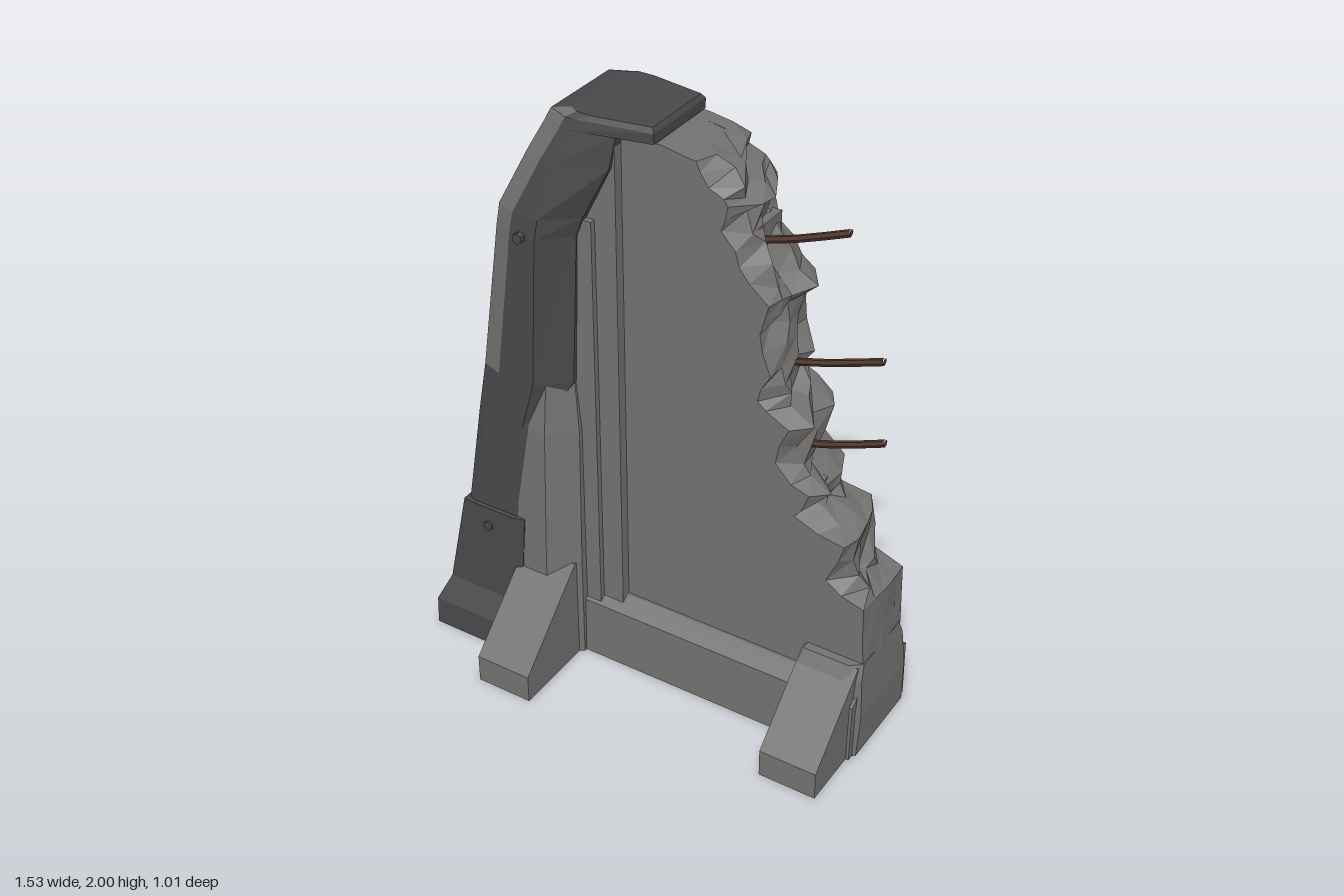
import * as THREE from 'three';

const mat = (name, color, side = THREE.FrontSide) => {
  const m = new THREE.MeshStandardMaterial({ color, side });
  m.name = name;
  m.flatShading = true;
  return m;
};

// small seeded generator for the broken concrete
function seeded(seed) {
  return () => {
    seed = (seed * 16807) % 2147483647;
    return seed / 2147483647;
  };
}

function fromTriangles(pos) {
  const g = new THREE.BufferGeometry();
  g.setAttribute('position', new THREE.Float32BufferAttribute(pos, 3));
  g.computeVertexNormals();
  return g;
}

const quad = (out, a, b, c, d) => out.push(...a, ...b, ...c, ...a, ...c, ...d);

// Stacked eight-sided sections. Row: y, outer x, middle x, inner x,
// outer half width, full half width, inner half width, outer chamfer.
// Chamfer strips above stripFrom go into a second list.
function stack(rows, stripFrom = Infinity) {
  const rings = rows.map(([y, xo, xm, xi, zo, z, zi, s]) => [
    [xo, y, zo], [xo + s, y, z], [xm, y, z], [xi, y, zi],
    [xi, y, -zi], [xm, y, -z], [xo + s, y, -z], [xo, y, -zo],
  ]);
  const main = [], strip = [];
  for (let i = 0; i < rings.length - 1; i++) {
    const lo = rings[i], hi = rings[i + 1];
    for (let k = 0; k < 8; k++) {
      const n = (k + 1) % 8;
      const isStrip = (k === 0 || k === 6) && rows[i][0] >= stripFrom;
      quad(isStrip ? strip : main, lo[k], lo[n], hi[n], hi[k]);
    }
  }
  const bottom = rings[0], top = rings[rings.length - 1];
  for (let k = 1; k < 7; k++) {
    main.push(...top[0], ...top[k], ...top[k + 1]);
    main.push(...bottom[0], ...bottom[k + 1], ...bottom[k]);
  }
  return { main: fromTriangles(main), strip: fromTriangles(strip) };
}

export function createModel() {
  const group = new THREE.Group();
  const concrete = mat('concrete', 0x73716f);
  const armour = mat('dark metal', 0x48484a);
  const rust = mat('rusty steel', 0x4e352c);

  const add = (name, geometry, material) => {
    const m = new THREE.Mesh(geometry, material);
    m.name = name;
    group.add(m);
    return m;
  };
  const box = (name, x0, x1, y0, y1, z0, z1, material) =>
    add(name, new THREE.BoxGeometry(x1 - x0, y1 - y0, z1 - z0), material)
      .position.set((x0 + x1) / 2, (y0 + y1) / 2, (z0 + z1) / 2);

  // dark cladding that leans in and hooks over the top
  const cladding = stack([
    [0.00, -0.77, -0.50, -0.46, 0.34, 0.34, 0.30, 0.02],
    [0.10, -0.77, -0.50, -0.46, 0.335, 0.335, 0.30, 0.02],
    [0.18, -0.74, -0.50, -0.455, 0.285, 0.285, 0.27, 0.02],
    [0.53, -0.67, -0.47, -0.43, 0.275, 0.28, 0.27, 0.02],
    [0.532, -0.655, -0.47, -0.43, 0.26, 0.268, 0.26, 0.02],
    [0.90, -0.60, -0.42, -0.38, 0.25, 0.268, 0.25, 0.04],
    [1.08, -0.57, -0.37, -0.27, 0.245, 0.268, 0.19, 0.07],
    [1.60, -0.50, -0.34, -0.25, 0.235, 0.268, 0.18, 0.07],
    [1.67, -0.49, -0.33, -0.225, 0.23, 0.262, 0.18, 0.07],
    [1.85, -0.41, -0.29, -0.135, 0.185, 0.22, 0.17, 0.07],
    [1.95, -0.36, -0.26, -0.12, 0.16, 0.19, 0.155, 0.07],
    [1.952, -0.36, -0.26, 0.00, 0.16, 0.19, 0.14, 0.07],
    [1.985, -0.345, -0.25, 0.00, 0.15, 0.18, 0.14, 0.07],
    [2.00, -0.28, -0.19, -0.01, 0.14, 0.16, 0.13, 0.03],
  ], 1.08);
  add('cladding', cladding.main, armour);
  add('claddingEdgeStrips', cladding.strip, concrete);

  // concrete pier in front of the cladding, and the column beside it
  add('pier', stack([
    [0.00, -0.60, -0.35, -0.255, 0.26, 0.27, 0.20, 0.02],
    [0.38, -0.60, -0.35, -0.255, 0.25, 0.268, 0.20, 0.02],
    [0.90, -0.56, -0.34, -0.255, 0.24, 0.26, 0.19, 0.02],
    [1.10, -0.50, -0.34, -0.275, 0.22, 0.24, 0.18, 0.02],
  ]).main, concrete);
  box('column', -0.30, -0.125, 0, 1.94, -0.155, 0.155, concrete);
  box('columnRib', -0.30, -0.20, 0, 1.66, -0.175, 0.175, concrete);

  // broken edge of the wall, top to bottom
  const outline = [
    [-0.12, 1.95], [0.02, 1.945], [0.18, 1.92], [0.23, 1.85], [0.29, 1.82], [0.27, 1.73],
    [0.32, 1.62], [0.41, 1.53], [0.37, 1.43], [0.41, 1.30], [0.40, 1.20], [0.48, 1.12],
    [0.46, 0.98], [0.55, 0.90], [0.54, 0.82], [0.67, 0.78], [0.66, 0.63], [0.74, 0.56],
    [0.75, 0.34], [0.75, 0.0],
  ];
  const rnd = seeded(4711);
  const depths = [0.12, 0.06, 0, -0.07, -0.14];
  const rows = [];
  outline.forEach(([x, y], i) => {
    const rough = i < 2 || i > 16 ? 0.15 : 1;
    const makeRow = (px, py, fixed) => rows.push(depths.map((z, j) => {
      const rim = j === 0 || j === depths.length - 1;
      const dx = (rim ? 0.01 + 0.05 * rnd() : 0.055 * (rnd() - 0.6)) * rough;
      const dy = fixed ? 0 : 0.03 * (rnd() - 0.5) * rough;
      return [px - dx, py + dy, rim ? z : z + 0.035 * (rnd() - 0.5)];
    }));
    makeRow(x, y, i === 0 || i === outline.length - 1);
    if (i < outline.length - 1) {
      const [nx, ny] = outline[i + 1];
      makeRow((x + nx) / 2 - 0.012 * rough, (y + ny) / 2, false);
    }
  });
  const edge = [];
  for (let i = 0; i < rows.length - 1; i++)
    for (let j = 0; j < depths.length - 1; j++)
      quad(edge, rows[i + 1][j], rows[i + 1][j + 1], rows[i][j + 1], rows[i][j]);
  add('brokenEdge', fromTriangles(edge), concrete);

  // wall slabs behind the broken edge; the back one frames a recess
  const slab = (name, column, z0, z1, hole) => {
    const pts = rows.map(r => new THREE.Vector2(r[column][0], r[column][1]));
    const shape = new THREE.Shape([new THREE.Vector2(-0.2, 1.95), ...pts, new THREE.Vector2(-0.2, 0)]);
    if (hole) shape.holes.push(new THREE.Path(hole.map(p => new THREE.Vector2(...p))));
    const g = new THREE.ExtrudeGeometry(shape, { depth: z1 - z0, bevelEnabled: false });
    add(name, g.translate(0, 0, z0), concrete);
  };
  slab('wallFront', 0, 0.0, 0.12);
  slab('wallBack', 4, -0.14, -0.09,
    [[-0.15, 0.2], [0.27, 0.2], [0.27, 1.4], [0.17, 1.62], [0.0, 1.7], [-0.15, 1.62]]);
  box('recessPanel', -0.2, 0.29, 0.1, 1.72, -0.095, 0.05, concrete);

  // plinth with a sloping top, and its raised end block
  const plinth = new THREE.Shape();
  [[-0.19, 0], [0.19, 0], [0.185, 0.215], [0.13, 0.255], [-0.13, 0.255], [-0.185, 0.215]]
    .forEach(([z, y], i) => (i ? plinth.lineTo(z, y) : plinth.moveTo(z, y)));
  const alongX = (shape, x0, x1) =>
    new THREE.ExtrudeGeometry(shape, { depth: x1 - x0, bevelEnabled: false })
      .rotateY(-Math.PI / 2).translate(x1, 0, 0);
  add('plinth', alongX(plinth, -0.27, 0.75), concrete);
  add('endBlock', stack([
    [0.00, 0.54, 0.72, 0.76, 0.19, 0.19, 0.16, 0.01],
    [0.16, 0.54, 0.72, 0.765, 0.19, 0.19, 0.15, 0.01],
    [0.30, 0.54, 0.71, 0.755, 0.18, 0.18, 0.14, 0.01],
    [0.35, 0.55, 0.71, 0.75, 0.15, 0.15, 0.12, 0.01],
  ]).main, concrete);

  // sloping feet
  const foot = (name, x0, x1, reach, topZ, topY, side) => {
    const pts = [[0, 0], [reach, 0], [reach, 0.1], [topZ, topY], [0, topY]];
    const shape = new THREE.Shape(pts.map(([z, y]) => new THREE.Vector2(z * side, y)));
    add(name, alongX(shape, x0, x1), concrete);
  };
  foot('frontPierFoot', -0.47, -0.27, 0.505, 0.22, 0.38, 1);
  foot('backPierFoot', -0.47, -0.27, 0.505, 0.22, 0.38, -1);
  foot('frontEndFoot', 0.54, 0.74, 0.395, 0.14, 0.34, 1);

  // bent reinforcing bars
  [[0.22, 1.65, 0.56, 1.765], [0.32, 1.27, 0.69, 1.38], [0.40, 1.0, 0.71, 1.10]]
    .forEach(([x0, y0, x1, y1], i) => {
      const curve = new THREE.CatmullRomCurve3([
        new THREE.Vector3(x0, y0, 0.01),
        new THREE.Vector3((x0 + x1) / 2, (y0 + y1) / 2 - 0.008, 0),
        new THREE.Vector3(x1, y1, -0.008),
      ]);
      add('reinforcingBar' + (i + 1), new THREE.TubeGeometry(curve, 4, 0.012, 6), rust);
      const cap = add('barEnd' + (i + 1), new THREE.CircleGeometry(0.012, 6), rust);
      cap.position.set(x1, y1, -0.008);
      cap.rotation.y = Math.PI / 2;
    });

  // bolts on both sides of the cladding
  for (const side of [1, -1])
    for (const [x, y] of [[-0.39, 1.6], [-0.57, 0.46]]) {
      const bolt = add('bolt', new THREE.CylinderGeometry(0.018, 0.018, 0.03, 6), armour);
      bolt.rotation.x = Math.PI / 2;
      bolt.position.set(x, y, side * 0.272);
    }

  return group;
}
